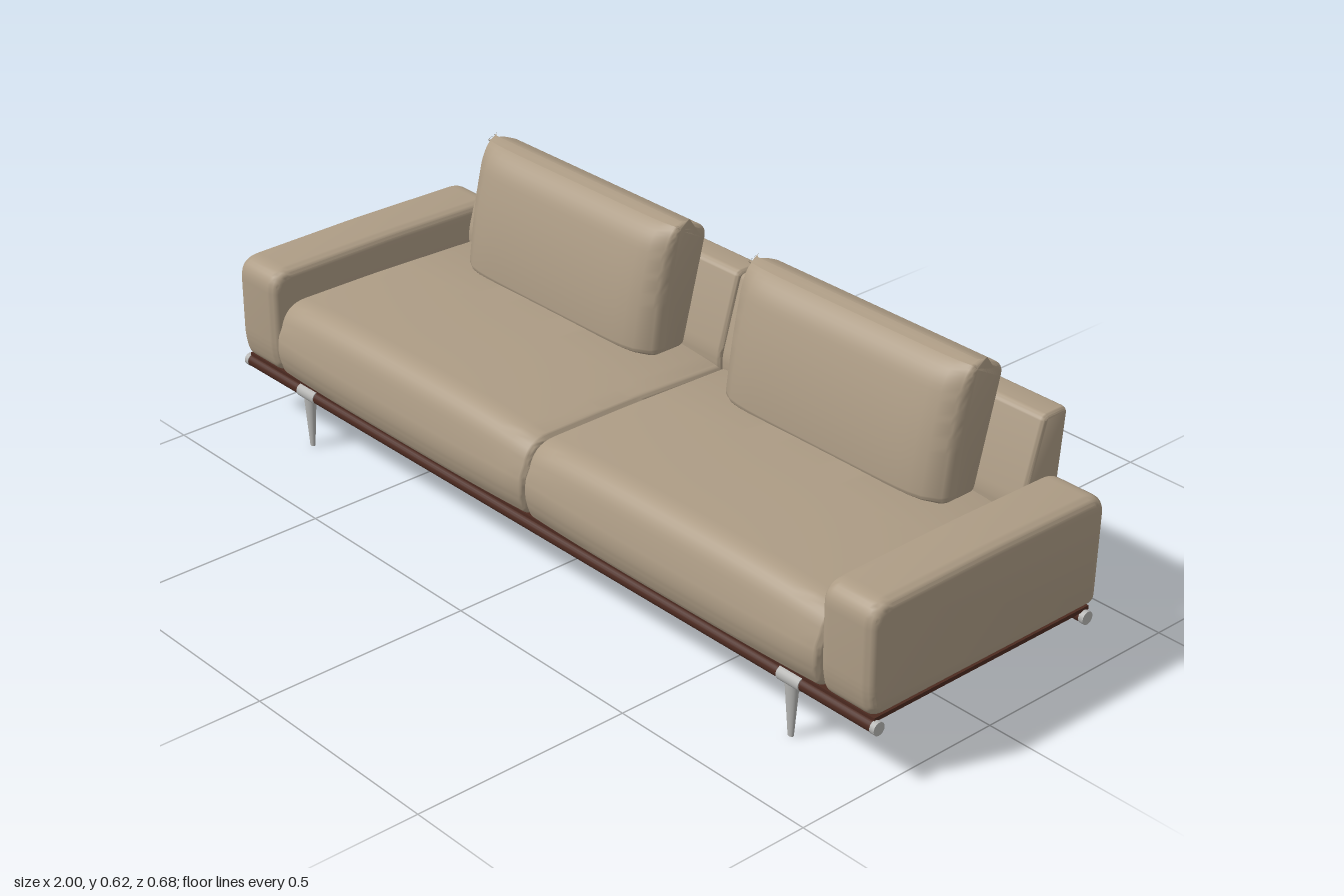
import * as THREE from 'three';
import { toCreasedNormals } from 'three/addons/utils/BufferGeometryUtils.js';

// Closed polygon of [z, y, cornerRadius] turned into a smooth-cornered shape
function roundedShape(points) {
  const shape = new THREE.Shape();
  const n = points.length;
  points.forEach(([x, y, r], i) => {
    const here = new THREE.Vector2(x, y);
    const toward = (p) => new THREE.Vector2(p[0], p[1]).sub(here).setLength(r).add(here);
    const a = toward(points[(i + n - 1) % n]);
    const b = toward(points[(i + 1) % n]);
    if (i === 0) shape.moveTo(a.x, a.y);
    else shape.lineTo(a.x, a.y);
    shape.quadraticCurveTo(x, y, b.x, b.y);
  });
  shape.closePath();
  return shape;
}

// Upholstered block: side profile swept along x with softened ends;
// deform(v, t) may reshape it, t running from -1 to 1 across the width
function upholstery(profile, width, bevel, deform) {
  const geo = new THREE.ExtrudeGeometry(roundedShape(profile), {
    depth: width - 2 * bevel,
    steps: deform ? 20 : 1,
    curveSegments: 8,
    bevelThickness: bevel,
    bevelSize: bevel * 0.8,
    bevelOffset: -bevel * 0.8,
    bevelSegments: 5,
  });
  geo.translate(0, 0, bevel - width / 2);
  geo.rotateY(-Math.PI / 2);
  if (deform) {
    const pos = geo.attributes.position;
    const v = new THREE.Vector3();
    for (let i = 0; i < pos.count; i++) {
      v.fromBufferAttribute(pos, i);
      deform(v, THREE.MathUtils.clamp((2 * v.x) / width, -1, 1));
      pos.setXYZ(i, v.x, v.y, v.z);
    }
  }
  return toCreasedNormals(geo, 0.7);
}

export function createModel() {
  const fabric = new THREE.MeshStandardMaterial({ name: 'taupe upholstery', color: 0xad9c85 });
  const wood = new THREE.MeshStandardMaterial({ name: 'dark wood', color: 0x4c2a20 });
  const metal = new THREE.MeshStandardMaterial({ name: 'brushed metal', color: 0xb5b5b3 });

  const sofa = new THREE.Group();
  sofa.name = 'sofa';
  const add = (name, geo, mat, x = 0, y = 0, z = 0) => {
    const mesh = new THREE.Mesh(geo, mat);
    mesh.name = name;
    mesh.position.set(x, y, z);
    sofa.add(mesh);
    return mesh;
  };

  // Upholstery shapes, profiles given as [z, y, radius]
  const armGeo = upholstery([
    [0.318, 0.148, 0.025], [0.33, 0.2, 0.025], [0.33, 0.394, 0.05],
    [0, 0.398, 0.05], [-0.31, 0.394, 0.045], [-0.302, 0.148, 0.025],
  ], 0.138, 0.025);

  const seatGeo = upholstery([
    [0.325, 0.15, 0.02], [0.346, 0.215, 0.035], [0.315, 0.338, 0.055],
    [0.05, 0.338, 0.06], [-0.25, 0.33, 0.02], [-0.25, 0.15, 0.02],
  ], 0.856, 0.016, (v, t) => {
    const edge = Math.abs(t) ** 3;
    if (v.y > 0.25) v.y -= 0.018 * edge;
    if (v.z > 0.25) v.z -= 0.008 * edge;
  });

  const backGeo = upholstery([
    [-0.24, 0.15, 0.012], [-0.304, 0.15, 0.015], [-0.339, 0.521, 0.018],
    [-0.268, 0.521, 0.016], [-0.212, 0.33, 0.03],
  ], 0.857, 0.013);

  const cushionGeo = upholstery([
    [-0.09, 0.325, 0.02], [-0.115, 0.478, 0.06], [-0.155, 0.605, 0.055],
    [-0.212, 0.617, 0.03], [-0.28, 0.587, 0.025], [-0.212, 0.325, 0.015],
  ], 0.635, 0.014, (v, t) => {
    // Front face bulges forward from a seam and tucks in at the ends
    const seam = -0.175 - 0.1 * (v.y - 0.35);
    const fullness = 0.25 + 0.75 * Math.sqrt(1 - Math.abs(t) ** 8);
    if (v.z > seam) v.z = seam + (v.z - seam) * fullness;
  });

  for (const side of [1, -1]) {
    const label = side > 0 ? 'left' : 'right';
    add(label + 'Arm', armGeo, fabric, side * 0.926);
    add(label + 'Seat', seatGeo, fabric, side * 0.429);
    add(label + 'BackRest', backGeo, fabric, side * 0.43);
    add(label + 'BackCushion', cushionGeo, fabric, side * 0.425);
  }

  // Wooden base board with a round rail along front and back
  add('baseBoard', new THREE.BoxGeometry(1.98, 0.009, 0.595), wood, 0, 0.1455, 0.015);
  const railGeo = new THREE.CylinderGeometry(0.0135, 0.0135, 1.976, 20).rotateZ(Math.PI / 2);
  const capGeo = new THREE.CylinderGeometry(0.0145, 0.0145, 0.012, 20).rotateZ(Math.PI / 2);
  const sleeveGeo = new THREE.CylinderGeometry(0.0155, 0.0155, 0.06, 20).rotateZ(Math.PI / 2);
  const legGeo = new THREE.CylinderGeometry(0.0125, 0.005, 0.128, 20);

  for (const [label, z] of [['front', 0.309], ['back', -0.27]]) {
    add(label + 'Rail', railGeo, wood, 0, 0.13, z);
    for (const side of [1, -1]) {
      add(label + 'RailCap', capGeo, metal, side * 0.994, 0.13, z);
      add(label + 'LegSleeve', sleeveGeo, metal, side * 0.77, 0.13, z);
      add(label + 'Leg', legGeo, metal, side * 0.77, 0.064, z).scale.x = 1.4;
    }
  }

  // Flat metal straps joining the legs under the board
  for (const side of [1, -1]) {
    add('legStrap', new THREE.BoxGeometry(0.06, 0.006, 0.579), metal, side * 0.77, 0.139, 0.0195);
  }
  return sofa;
}
